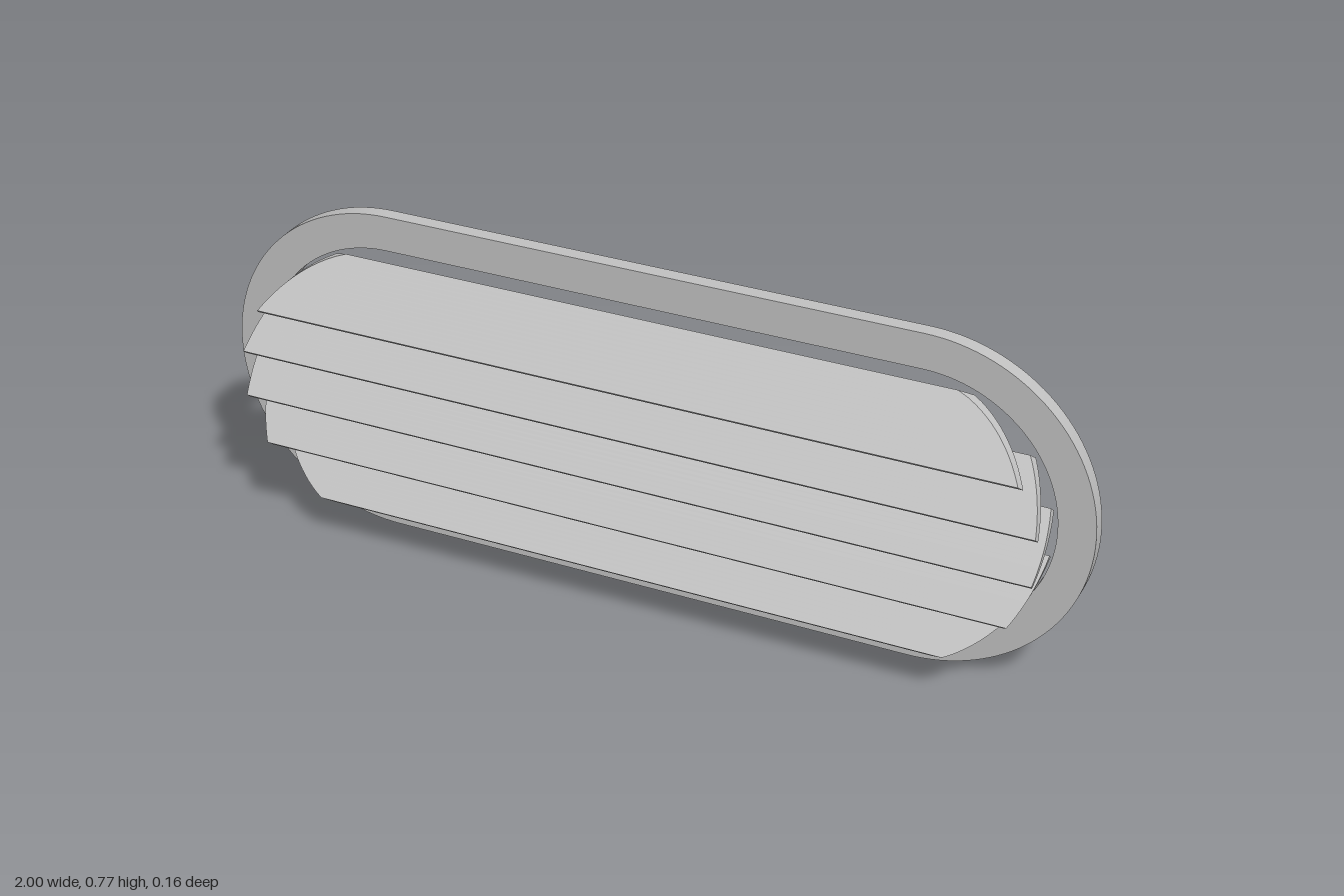
import * as THREE from 'three';
import { toCreasedNormals } from 'three/addons/utils/BufferGeometryUtils.js';

const CENTRE_Y = 0.386;
const HALF_STRAIGHT = 0.614; // half length of the straight edges
const OUTER_R = 0.386;
const INNER_R = 0.305;
const SLAT_R = 0.303;

// Rounded-end outline, drawn counter-clockwise
function stadium(target, r) {
  target.moveTo(-HALF_STRAIGHT, -r);
  target.lineTo(HALF_STRAIGHT, -r);
  target.absarc(HALF_STRAIGHT, 0, r, -Math.PI / 2, Math.PI / 2, false);
  target.lineTo(-HALF_STRAIGHT, r);
  target.absarc(-HALF_STRAIGHT, 0, r, Math.PI / 2, Math.PI * 1.5, false);
  return target;
}

// Flat ring standing behind the slats
function frameGeometry() {
  const shape = stadium(new THREE.Shape(), OUTER_R);
  shape.holes.push(stadium(new THREE.Path(), INNER_R));
  const geo = new THREE.ExtrudeGeometry(shape, {
    depth: 0.035, bevelEnabled: false, curveSegments: 32,
  });
  geo.translate(0, CENTRE_Y, -0.082);
  return toCreasedNormals(geo, 0.5);
}

// Tilted board whose ends are trimmed to the rounded opening
function slatGeometry(y) {
  const geo = new THREE.BoxGeometry(2, 0.164, 0.0175, 1, 16, 1);
  geo.rotateX(-0.69);
  geo.translate(0, y, 0.024);
  const pos = geo.attributes.position;
  for (let i = 0; i < pos.count; i++) {
    const dy = pos.getY(i) - CENTRE_Y;
    const half = HALF_STRAIGHT + Math.sqrt(Math.max(0, SLAT_R * SLAT_R - dy * dy));
    pos.setX(i, Math.sign(pos.getX(i)) * half);
  }
  return toCreasedNormals(geo, 0.5);
}

export function createModel() {
  const model = new THREE.Group();
  model.name = 'louvredVent';
  const grey = new THREE.MeshStandardMaterial({ color: 0xc0c0c0 });
  grey.name = 'lightGrey';

  const frame = new THREE.Mesh(frameGeometry(), grey);
  frame.name = 'frame';
  model.add(frame);

  // Five evenly spaced slats, bottom to top
  const slats = new THREE.Group();
  slats.name = 'slats';
  for (let i = 0; i < 5; i++) {
    const slat = new THREE.Mesh(slatGeometry(CENTRE_Y + 0.001 + (i - 2) * 0.1105), grey);
    slat.name = `slat${i + 1}`;
    slats.add(slat);
  }
  model.add(slats);
  return model;
}
